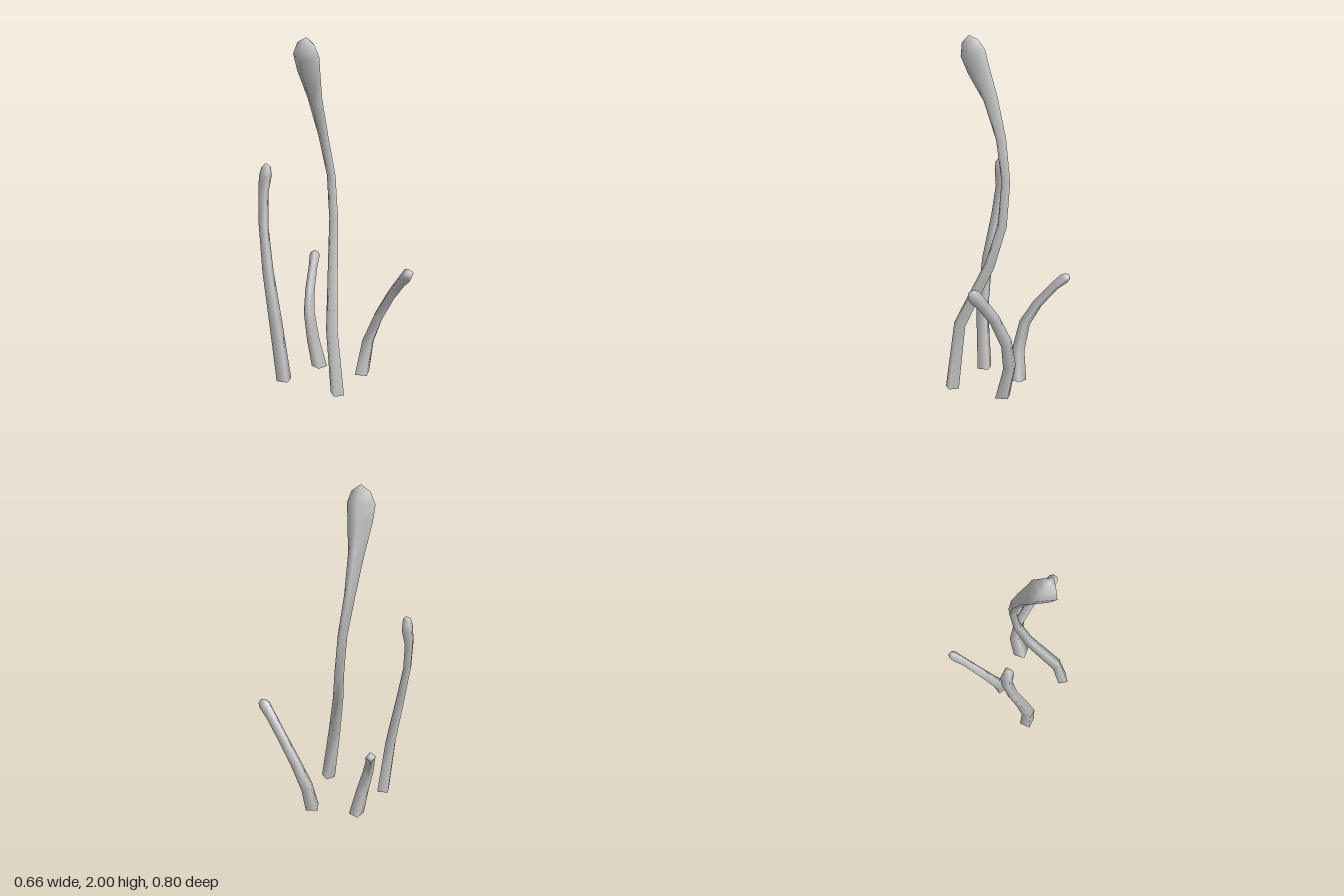
import * as THREE from 'three';

// Each stalk: twist of its four-sided section (degrees) and rings of [x, y, z, radius]; last entry is the tip point.
const STALKS = [
  { name: 'tallBulbStalk', twist: 63, rings: [
    [-0.10, 0, 0.235, 0.042], [-0.10, 0.37, 0.18, 0.036], [0.005, 0.72, 0.045, 0.031],
    [0.05, 0.95, -0.01, 0.028], [0.05, 1.2, -0.035, 0.027], [0.0, 1.43, -0.04, 0.031],
    [-0.07, 1.65, -0.02, 0.045], [-0.135, 1.81, 0.015, 0.07], [-0.163, 1.9, 0.033, 0.079],
    [-0.172, 1.965, 0.045, 0.052], [-0.175, 2.0, 0.05, 0]] },
  { name: 'leftBackStalk', twist: 10, rings: [
    [-0.24, 0, -0.10, 0.046], [-0.28, 0.35, -0.115, 0.04], [-0.297, 0.66, -0.165, 0.034],
    [-0.287, 0.92, -0.22, 0.029], [-0.27, 1.1, -0.243, 0.031], [-0.259, 1.2, -0.236, 0.039],
    [-0.258, 1.25, -0.23, 0.029], [-0.258, 1.275, -0.228, 0]] },
  { name: 'backStalk', twist: 38, rings: [
    [0.04, 0, -0.14, 0.045], [0.01, 0.17, -0.16, 0.037], [0.013, 0.33, -0.205, 0.032],
    [0.06, 0.45, -0.262, 0.028], [0.13, 0.56, -0.33, 0.026], [0.17, 0.608, -0.37, 0.031],
    [0.183, 0.622, -0.385, 0.022], [0.19, 0.63, -0.392, 0]] },
  { name: 'frontRightStalk', twist: 4, rings: [
    [0.185, 0, 0.09, 0.05], [0.235, 0.19, 0.08, 0.042], [0.27, 0.35, 0.13, 0.036],
    [0.288, 0.51, 0.225, 0.033], [0.29, 0.62, 0.315, 0.034], [0.29, 0.667, 0.362, 0.039],
    [0.29, 0.685, 0.385, 0.026], [0.29, 0.69, 0.395, 0]] },
];

const SIDES = 4;

// Sweep a square section along the stalk, square to its direction
function stalkGeometry({ twist, rings }) {
  const positions = [], index = [];
  const up = new THREE.Vector3(0, 1, 0);
  const centres = rings.map(([x, y, z]) => new THREE.Vector3(x, y, z));
  const last = rings.length - 1;
  for (let i = 0; i < last; i++) {
    const tangent = i === 0 ? up.clone()
      : centres[i + 1].clone().sub(centres[i - 1]).normalize();
    const turn = new THREE.Quaternion().setFromUnitVectors(up, tangent);
    for (let j = 0; j < SIDES; j++) {
      const a = THREE.MathUtils.degToRad(twist) + j * 2 * Math.PI / SIDES;
      const p = new THREE.Vector3(Math.cos(a), 0, Math.sin(a))
        .multiplyScalar(rings[i][3]).applyQuaternion(turn).add(centres[i]);
      positions.push(...p.toArray());
    }
  }
  const tip = last * SIDES;
  positions.push(...centres[last].toArray());
  for (let j = 0; j < SIDES; j++) {
    const k = (j + 1) % SIDES;
    for (let i = 0; i < last - 1; i++) {
      const a = i * SIDES + j, c = i * SIDES + k;
      index.push(a, a + SIDES, c, c, a + SIDES, c + SIDES);
    }
    index.push((last - 1) * SIDES + j, tip, (last - 1) * SIDES + k);
  }
  // Flat base with its own corners so the bottom edge stays sharp
  const base = tip + 1;
  positions.push(...positions.slice(0, SIDES * 3));
  for (let j = 1; j < SIDES - 1; j++) index.push(base, base + j, base + j + 1);

  const geometry = new THREE.BufferGeometry();
  geometry.setAttribute('position', new THREE.Float32BufferAttribute(positions, 3));
  geometry.setIndex(index);
  geometry.computeVertexNormals();
  return geometry;
}

export function createModel() {
  const group = new THREE.Group();
  group.name = 'stalkCluster';
  const material = new THREE.MeshStandardMaterial({ color: 0xcccccc });
  for (const stalk of STALKS) {
    const mesh = new THREE.Mesh(stalkGeometry(stalk), material);
    mesh.name = stalk.name;
    group.add(mesh);
  }
  return group;
}
